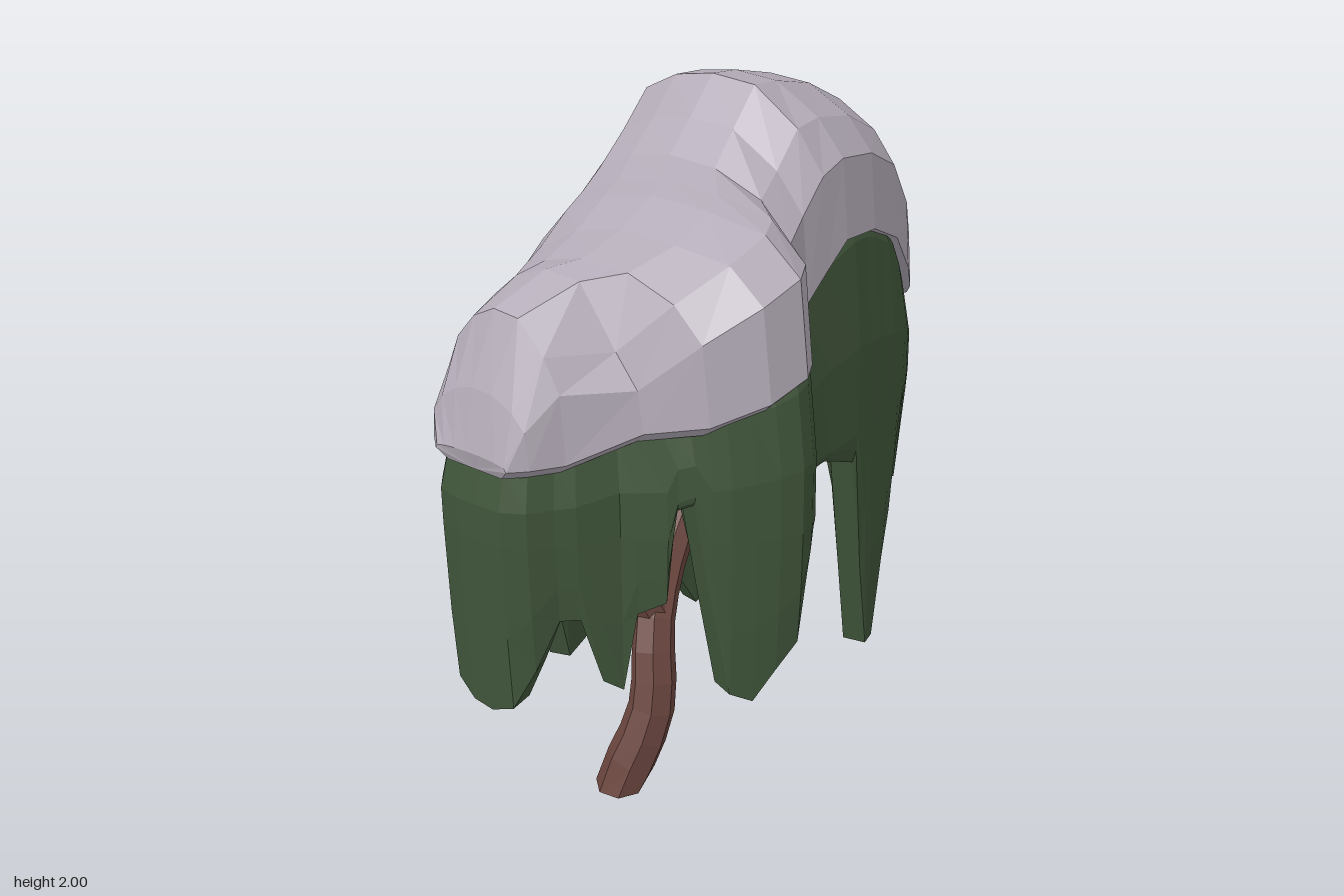
import * as THREE from 'three';

const material = (color) =>
  new THREE.MeshStandardMaterial({ color, flatShading: true, side: THREE.DoubleSide });
const { lerp, clamp } = THREE.MathUtils;

// Skins a list of rings, each an equal-length list of [x, y, z]
function loft(rings, closed) {
  const positions = [];
  const same = (a, b) => a.every((v, k) => Math.abs(v - b[k]) < 1e-6);
  const tri = (a, b, c) => {
    if (!same(a, b) && !same(b, c) && !same(a, c)) positions.push(...a, ...b, ...c);
  };
  for (let r = 0; r < rings.length - 1; r++) {
    const top = rings[r], low = rings[r + 1], n = top.length;
    for (let i = 0; i < (closed ? n : n - 1); i++) {
      const j = (i + 1) % n;
      tri(top[i], low[i], low[j]);
      tri(top[i], low[j], top[j]);
    }
  }
  const geometry = new THREE.BufferGeometry();
  geometry.setAttribute('position', new THREE.Float32BufferAttribute(positions, 3));
  geometry.computeVertexNormals();
  return geometry;
}

// Snow stations, front to back:
// z, right x, left x, right hem y, left hem y, top y, squareness of the left shoulder
const stations = [
  [0.872, -0.28, -0.03, 1.2, 1.2, 1.22, 0.8],
  [0.83, -0.33, 0.01, 1.2, 1.2, 1.38, 0.8],
  [0.75, -0.35, 0.06, 1.21, 1.2, 1.57, 0.75],
  [0.6, -0.385, 0.19, 1.25, 1.27, 1.64, 0.55],
  [0.52, -0.405, 0.34, 1.3, 1.3, 1.66, 0.84],
  [0.4, -0.44, 0.44, 1.33, 1.35, 1.71, 0.94],
  [0.28, -0.46, 0.465, 1.38, 1.39, 1.77, 0.92],
  [0.2, -0.47, 0.42, 1.41, 1.39, 1.79, 0.9],
  [0.1, -0.48, 0.29, 1.45, 1.37, 1.82, 0.85],
  [0, -0.475, 0.26, 1.5, 1.46, 1.9, 0.78],
  [-0.1, -0.47, 0.25, 1.55, 1.52, 2, 0.78],
  [-0.2, -0.465, 0.243, 1.58, 1.58, 1.99, 0.79],
  [-0.36, -0.45, 0.225, 1.57, 1.565, 1.95, 0.8],
  [-0.52, -0.415, 0.195, 1.49, 1.49, 1.87, 0.8],
  [-0.68, -0.365, 0.135, 1.35, 1.34, 1.7, 0.8],
  [-0.78, -0.31, 0.08, 1.25, 1.24, 1.53, 0.8],
  [-0.84, -0.27, 0.03, 1.19, 1.19, 1.36, 0.8],
  [-0.866, -0.22, -0.03, 1.17, 1.17, 1.2, 0.8],
];

// Arch across the snow: fraction of width, fraction of height; softer on the right near the front
const arch = (shoulder, soft) => [[0, 0], [0.02, lerp(0.58, 0.45, soft)],
  [0.12, lerp(0.83, 0.71, soft)], [0.27, lerp(0.95, 0.9, soft)], [0.45, 1],
  [0.65, 0.98], [0.85, shoulder], [0.97, shoulder - 0.24], [1, 0]];

function snowGeometry() {
  const rings = stations.map(([z, x0, x1, y0, y1, top, shoulder]) => {
    const ring = arch(shoulder, clamp((z + 0.1) / 0.5, 0, 1)).map(([u, v]) => {
      const hem = lerp(y0, y1, u);
      return [lerp(x0, x1, u), hem + (top - hem) * v, z];
    });
    // Turned-in lower rim, thinner toward the back
    const rim = z > 0.1 ? 0.03 : 0.012;
    ring.unshift([x0 + 0.03, y0 - rim, z * 0.985]);
    ring.push([x1 - 0.03, y1 - rim, z * 0.985]);
    return ring;
  }).reverse();
  const closeEnd = (ring) => {
    const a = ring[0], b = ring[ring.length - 1];
    return ring.map(() => [(a[0] + b[0]) / 2, (a[1] + b[1]) / 2, a[2]]);
  };
  return loft([closeEnd(rings[0]), ...rings, closeEnd(rings[rings.length - 1])], false);
}

// Curtain outline with strand ends: x, z, lowest y (front, left side, back)
const leftCurtain = [
  [-0.15, 0.87, 0.45], [-0.07, 0.865, 0.48], [-0.01, 0.83, 0.6], [0.03, 0.77, 0.74],
  [0.07, 0.73, 0.74], [0.1, 0.68, 0.54], [0.13, 0.63, 0.5], [0.17, 0.61, 0.74],
  [0.24, 0.57, 0.78], [0.26, 0.55, 1.05], [0.3, 0.53, 1.07], [0.34, 0.51, 0.8],
  [0.38, 0.48, 0.51], [0.42, 0.43, 0.48], [0.46, 0.38, 0.57], [0.487, 0.32, 0.64],
  [0.48, 0.27, 0.83], [0.46, 0.23, 0.93], [0.38, 0.18, 0.94], [0.3, 0.1, 0.94],
  [0.265, 0, 0.94], [0.255, -0.12, 0.94], [0.25, -0.27, 0.88], [0.24, -0.34, 0.5],
  [0.235, -0.39, 0.21], [0.23, -0.43, 0.22], [0.225, -0.48, 0.47], [0.2, -0.55, 0.6],
  [0.17, -0.62, 0.86], [0.13, -0.7, 0.9], [0.09, -0.77, 0.85], [0.03, -0.83, 0.56],
  [-0.06, -0.865, 0.52], [-0.13, -0.872, 0.66],
];
// Back, right side, front
const rightCurtain = [
  [-0.22, -0.87, 0.84], [-0.31, -0.835, 0.85], [-0.37, -0.73, 0.84], [-0.42, -0.6, 0.7],
  [-0.445, -0.48, 0.42], [-0.455, -0.38, 0.2], [-0.46, -0.31, 0.18], [-0.465, -0.23, 0.3],
  [-0.47, -0.15, 0.55], [-0.475, -0.09, 0.74], [-0.48, 0, 0.76], [-0.487, 0.12, 0.46],
  [-0.49, 0.22, 0.27], [-0.487, 0.3, 0.24], [-0.47, 0.38, 0.52], [-0.43, 0.46, 0.77],
  [-0.395, 0.58, 0.77], [-0.36, 0.7, 0.77], [-0.34, 0.8, 0.62], [-0.29, 0.855, 0.5],
  [-0.22, 0.87, 0.46],
];

// Height of the snow hem above a point of the outline
function hemAt(x, z) {
  let k = stations.findIndex((s) => s[0] <= z);
  k = k < 0 ? stations.length - 1 : Math.max(k, 1);
  const a = stations[k - 1], b = stations[k];
  const t = clamp((a[0] - z) / (a[0] - b[0]), 0, 1);
  const x0 = lerp(a[1], b[1], t), x1 = lerp(a[2], b[2], t);
  const u = clamp((x - x0) / (x1 - x0), 0, 1);
  return lerp(lerp(a[3], b[3], t), lerp(a[4], b[4], t), u);
}

// Thick curtain: outer wall down to the strand ends, back up inside, then a raised ceiling
function curtainGeometry() {
  const outline = [...leftCurtain, ...rightCurtain];
  const ring = (inset, height) => outline.map(([x, z, low]) => {
    const dx = -0.1 - x, dz = -z * 0.3, d = Math.hypot(dx, dz);
    return [x + (dx / d) * inset, height(x, z, low), z + (dz / d) * inset];
  });
  const level = (low) => Math.max(0.97, low + 0.03);
  return loft([
    ring(0.04, (x, z) => hemAt(x, z) + 0.02),
    ring(0.025, (x, z) => hemAt(x, z) - 0.02),
    ring(0, (x, z, low) => lerp(hemAt(x, z), level(low), 0.55)),
    ring(0, (x, z, low) => level(low)),
    ring(0.005, (x, z, low) => lerp(level(low), low, 0.55)),
    ring(0.015, (x, z, low) => low),
    ring(0.085, (x, z, low) => low + 0.005),
    ring(0.11, (x, z, low) => lerp(level(low), low, 0.45)),
    ring(0.12, (x, z, low) => level(low)),
    ring(0.14, () => 1.15),
    outline.map(([, z]) => [-0.1, 1.18, z * 0.6]),
  ], true);
}

// Tapered limb along a smooth path
function limb(name, points, r0, r1, mat) {
  const path = new THREE.CatmullRomCurve3(points.map((p) => new THREE.Vector3(...p)));
  const steps = points.length * 2, sides = 7;
  const geometry = new THREE.TubeGeometry(path, steps, 1, sides);
  const pos = geometry.attributes.position, v = new THREE.Vector3();
  for (let i = 0; i < pos.count; i++) {
    const t = Math.floor(i / (sides + 1)) / steps, c = path.getPointAt(t);
    v.fromBufferAttribute(pos, i).sub(c).multiplyScalar(lerp(r0, r1, t)).add(c);
    if (t === 0 && points[0][1] === 0) v.y = 0;
    pos.setXYZ(i, v.x, Math.max(v.y, 0), v.z);
  }
  const mesh = new THREE.Mesh(geometry, mat);
  mesh.name = name;
  return mesh;
}

export function createModel() {
  const model = new THREE.Group();
  model.name = 'snowyWillow';
  const add = (name, geometry, mat) => {
    const mesh = new THREE.Mesh(geometry, mat);
    mesh.name = name;
    model.add(mesh);
    return mesh;
  };

  add('snowCap', snowGeometry(), material(0xb3abb7));
  add('hangingFoliage', curtainGeometry(), material(0x40553a));

  // Leaning trunk and its branches
  const bark = material(0x6b463f);
  model.add(
    limb('trunk', [[-0.085, 0, 0.425], [-0.03, 0.24, 0.34], [-0.07, 0.48, 0.275],
      [-0.12, 0.6, 0.16], [-0.15, 0.73, 0.03]], 0.078, 0.05, bark),
    limb('frontBranch', [[-0.08, 0.5, 0.26], [-0.11, 0.65, 0.32], [-0.14, 1.17, 0.38]], 0.055, 0.035, bark),
    limb('topBranch', [[-0.145, 0.68, 0.07], [-0.15, 0.8, 0.01], [-0.16, 1.17, -0.06]], 0.045, 0.03, bark),
    limb('backBranch', [[-0.145, 0.7, 0.06], [-0.17, 0.76, -0.08], [-0.19, 0.83, -0.3],
      [-0.21, 1, -0.56], [-0.21, 1.17, -0.66]], 0.05, 0.03, bark),
  );
  const foot = add('trunkBase', new THREE.CircleGeometry(0.07, 7), bark);
  foot.rotation.x = Math.PI / 2;
  foot.position.set(-0.085, 0.001, 0.425);
  return model;
}
